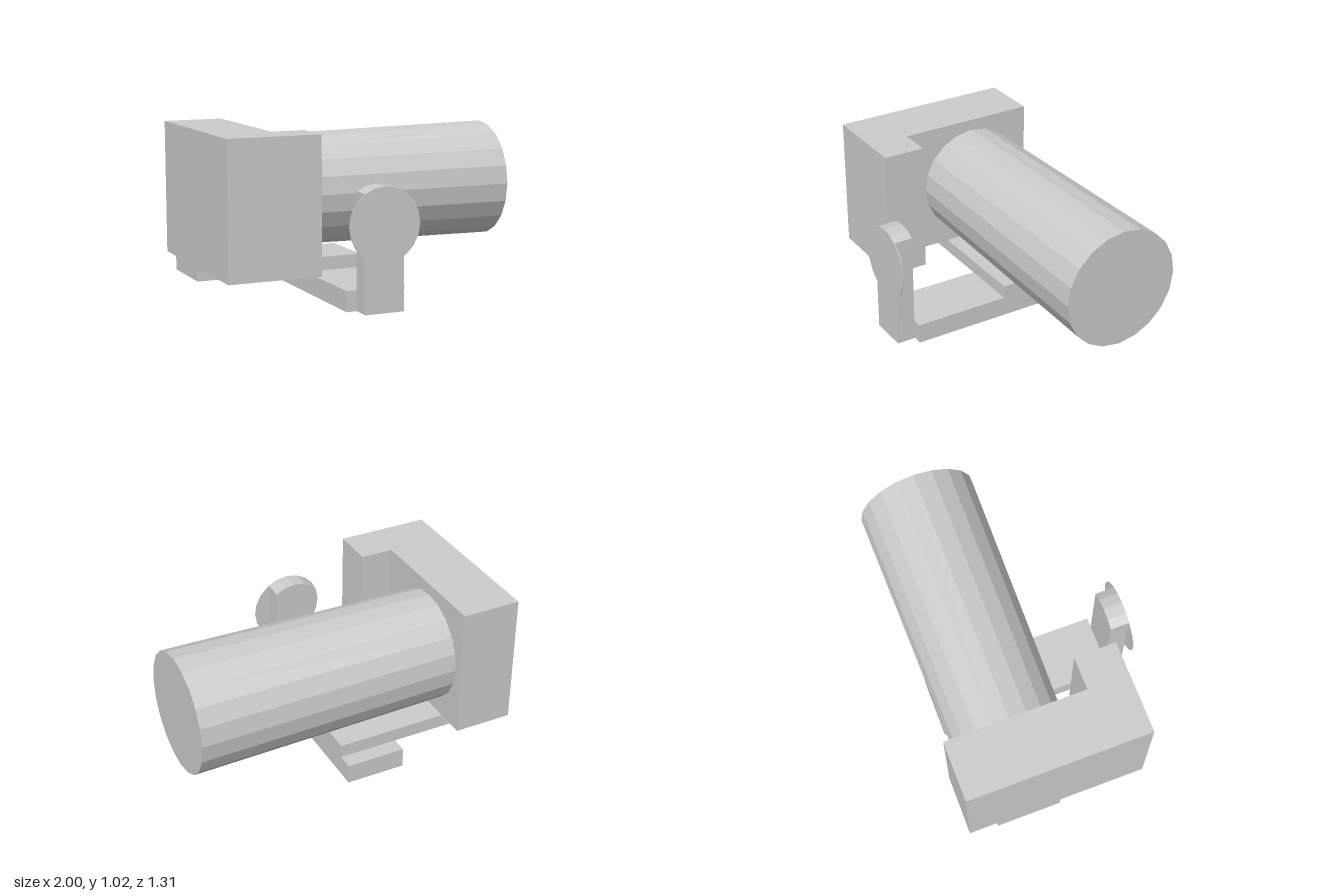
import * as THREE from 'three';

const material = new THREE.MeshStandardMaterial({ color: 0xcccccc, flatShading: true });

export function createModel() {
  const model = new THREE.Group();

  const add = (name, geometry) => {
    const mesh = new THREE.Mesh(geometry, material);
    mesh.name = name;
    model.add(mesh);
    return mesh;
  };

  // Box given by its lower and upper limits on each axis
  const addBox = (name, [x0, x1], [y0, y1], [z0, z1]) =>
    add(name, new THREE.BoxGeometry(x1 - x0, y1 - y0, z1 - z0))
      .position.set((x0 + x1) / 2, (y0 + y1) / 2, (z0 + z1) / 2);

  // Camera body with a forward grip: L-shaped plan, extruded upwards
  const plan = new THREE.Shape([
    [-1, 0.655], [-1, -0.468], [-0.432, -0.468],
    [-0.432, -0.21], [-0.635, -0.21], [-0.635, 0.655],
  ].map(([x, y]) => new THREE.Vector2(x, y)));
  const body = new THREE.ExtrudeGeometry(plan, { depth: 0.817, bevelEnabled: false });
  body.rotateX(-Math.PI / 2);
  add('cameraBody', body).position.y = 0.207;

  // Slightly flared lens barrel along x
  const lens = new THREE.CylinderGeometry(0.367, 0.341, 1.635, 20);
  lens.rotateZ(-Math.PI / 2);
  add('lensBarrel', lens).position.set(0.1825, 0.614, -0.256);

  // Mounting plate and the arm below it
  addBox('mountingPlate', [-1, 0.06], [0.124, 0.207], [-0.475, -0.07]);
  addBox('bracketArm', [-0.31, 0.06], [0, 0.124], [-0.575, 0.535]);

  // Upright post whose top follows the rim of the disc
  const cx = -0.123, cy = 0.512, r = 0.223, half = 0.1225;
  const post = new THREE.Shape();
  post.moveTo(cx - half, 0);
  post.lineTo(cx + half, 0);
  post.lineTo(cx + half, cy + 0.185);
  for (const degrees of [72, 90, 108]) {
    const a = THREE.MathUtils.degToRad(degrees);
    post.lineTo(cx + r * Math.cos(a), cy + r * Math.sin(a));
  }
  post.lineTo(cx - half, cy + 0.185);
  post.closePath();
  add('handlePost', new THREE.ExtrudeGeometry(post, { depth: 0.117, bevelEnabled: false }))
    .position.z = 0.535;

  // Thin round disc on the front of the post
  const disc = new THREE.CylinderGeometry(r, r, 0.005, 20);
  disc.rotateX(Math.PI / 2);
  add('flashDisc', disc).position.set(cx, cy, 0.6525);

  return model;
}
